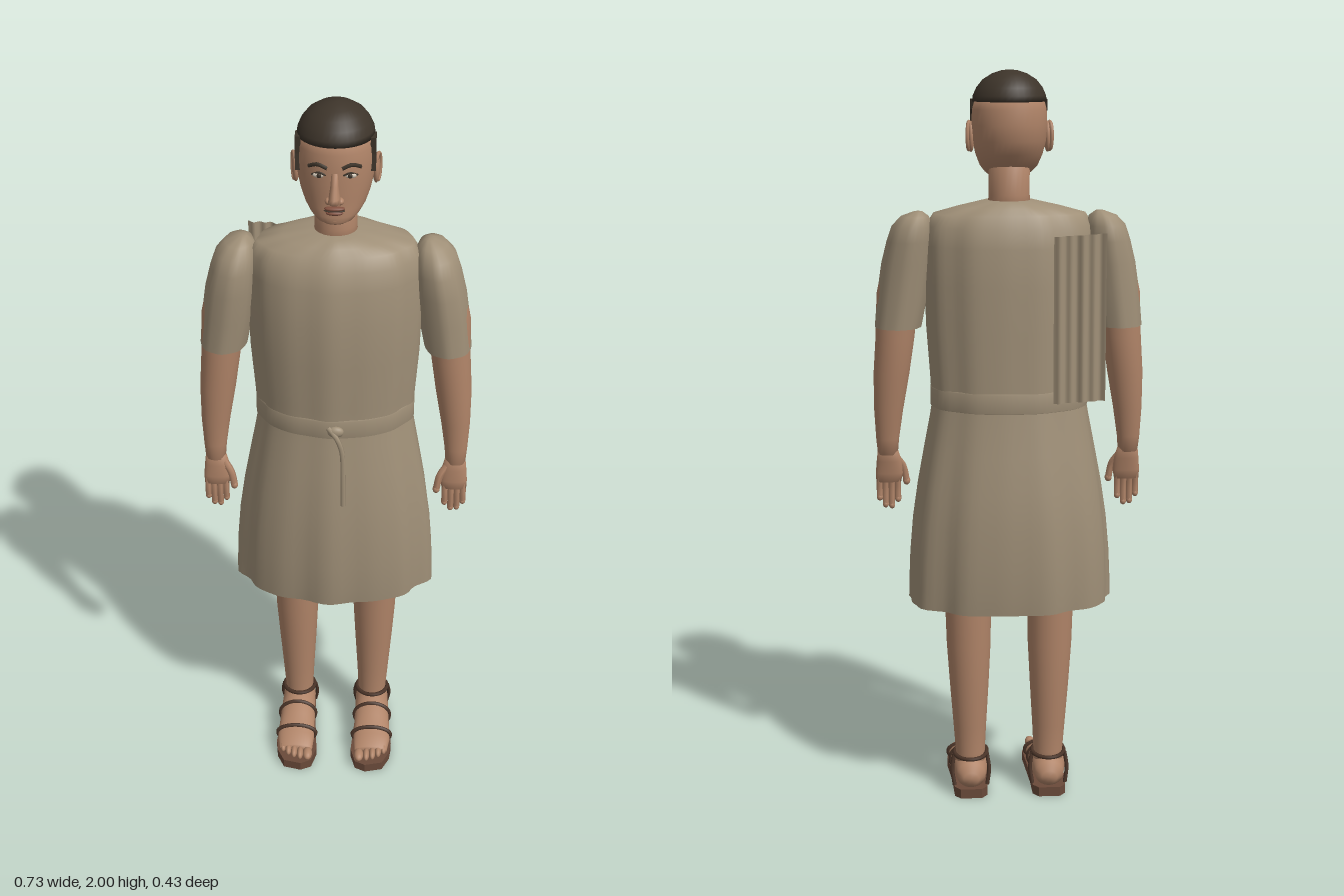
import * as THREE from 'three';

const mat = (name, color, side = THREE.FrontSide) => {
  const m = new THREE.MeshStandardMaterial({ color, side });
  m.name = name;
  return m;
};

// Stacks elliptical sections [y, cx, cz, rx, rz], listed upwards; ripple(angle, y) scales the radius.
function loft(sections, { seg = 24, bottom = true, top = true, ripple = () => 1, mirror = 1 } = {}) {
  const pos = [], idx = [];
  for (const [y, cx, cz, rx, rz] of sections) {
    for (let j = 0; j < seg; j++) {
      const a = (j / seg) * Math.PI * 2, r = ripple(a, y);
      pos.push(cx * mirror + rx * r * Math.sin(a), y, cz + rz * r * Math.cos(a));
    }
  }
  for (let i = 0; i < sections.length - 1; i++) {
    for (let j = 0; j < seg; j++) {
      const k = (j + 1) % seg, a = i * seg + j, b = i * seg + k;
      idx.push(a, b, b + seg, a, b + seg, a + seg);
    }
  }
  const cap = (i, up) => {
    const [y, cx, cz] = sections[i], c = pos.length / 3;
    pos.push(cx * mirror, y, cz);
    for (let j = 0; j < seg; j++) {
      const a = i * seg + j, b = i * seg + (j + 1) % seg;
      if (up) idx.push(c, a, b); else idx.push(c, b, a);
    }
  };
  if (bottom) cap(0, false);
  if (top) cap(sections.length - 1, true);
  const g = new THREE.BufferGeometry();
  g.setAttribute('position', new THREE.Float32BufferAttribute(pos, 3));
  g.setIndex(idx);
  g.computeVertexNormals();
  return g;
}

const tube = (pts, r, closed = false) => new THREE.TubeGeometry(
  new THREE.CatmullRomCurve3(pts.map(p => new THREE.Vector3(...p)), closed), pts.length * 3, r, 6, closed);

const oval = (n, f) => Array.from({ length: n }, (_, i) => f(Math.sin(i / n * Math.PI * 2), Math.cos(i / n * Math.PI * 2)));

export function createModel() {
  const model = new THREE.Group();
  const cloth = mat('tunic cloth', 0xa09078, THREE.DoubleSide);
  const skin = mat('skin', 0xb08468);
  const hair = mat('hair', 0x3d342a);
  const sole = mat('sole leather', 0x6a4a3a);
  const strap = mat('strap leather', 0x4a3428);
  const lip = mat('lips', 0x80503f);
  const white = mat('eye white', 0xcfc4b4);

  const add = (name, geo, material, parent = model) => {
    const m = new THREE.Mesh(geo, material);
    m.name = name;
    parent.add(m);
    return m;
  };
  const ball = (name, material, p, r, parent) => {
    const m = add(name, new THREE.SphereGeometry(1, 16, 12), material, parent);
    m.position.set(...p);
    m.scale.set(...r);
    return m;
  };

  // Tunic: gathered bodice, belt and flared skirt with soft folds
  const folds = amp => (a, y) => 1 + amp(y) * (Math.cos(9 * a + 0.4) + 0.6 * Math.cos(14 * a + 1));
  add('bodice', loft([
    [1.15, 0, -0.03, 0.21, 0.145], [1.2, 0, -0.03, 0.213, 0.146], [1.33, 0, -0.027, 0.222, 0.15],
    [1.45, 0, -0.027, 0.225, 0.15], [1.55, 0, -0.03, 0.225, 0.143], [1.6, 0, -0.032, 0.22, 0.131],
    [1.632, 0, -0.034, 0.2, 0.113], [1.65, 0, -0.035, 0.135, 0.1], [1.666, 0, -0.035, 0.065, 0.082],
  ], { seg: 72, bottom: false, ripple: folds(() => 0.013) }), cloth);
  add('belt', loft([[1.115, 0, -0.03, 0.205, 0.14], [1.12, 0, -0.03, 0.213, 0.149],
    [1.17, 0, -0.03, 0.213, 0.149], [1.175, 0, -0.03, 0.205, 0.14]],
  { seg: 72, bottom: false, top: false, ripple: folds(() => 0.008) }), cloth);
  add('skirt', loft([
    [0.57, 0, -0.033, 0.275, 0.168], [0.62, 0, -0.033, 0.274, 0.174], [0.7, 0, -0.033, 0.271, 0.178],
    [0.8, 0, -0.033, 0.263, 0.178], [0.9, 0, -0.032, 0.249, 0.172], [1, 0, -0.03, 0.231, 0.16],
    [1.08, 0, -0.03, 0.216, 0.149], [1.14, 0, -0.03, 0.206, 0.142],
  ], { seg: 72, bottom: false, top: false, ripple: folds(y => 0.008 + 0.03 * (1.14 - y)) }), cloth);

  // Belt knot and hanging end
  ball('beltKnot', cloth, [0.005, 1.143, 0.122], [0.022, 0.016, 0.012]);
  add('beltEnd', tube([[-0.015, 1.155, 0.122], [0.008, 1.13, 0.134], [0.022, 1.09, 0.137],
    [0.025, 1.02, 0.14], [0.026, 0.92, 0.144]], 0.007), cloth);

  // Pleated cloth hanging behind the right shoulder
  const drape = new THREE.PlaneGeometry(0.135, 0.435, 28, 1);
  const dp = drape.attributes.position;
  for (let i = 0; i < dp.count; i++) {
    const x = dp.getX(i);
    dp.setZ(i, 0.004 * Math.sin(x * 210) + 0.002 * Math.sin(x * 90));
    dp.setY(i, dp.getY(i) - x * 0.06);
  }
  drape.computeVertexNormals();
  add('backDrape', drape, cloth).position.set(-0.172, 1.372, -0.2);

  // Head and neck
  const head = new THREE.Group();
  head.name = 'head';
  model.add(head);
  add('neck', loft([[1.62, 0, -0.035, 0.06, 0.057], [1.68, 0, -0.033, 0.054, 0.052],
    [1.77, 0, -0.035, 0.054, 0.054]]), skin, head);
  add('skull', loft([
    [1.716, 0, 0.036, 0.028, 0.02], [1.722, 0, 0.028, 0.044, 0.032], [1.737, 0, 0.008, 0.062, 0.054],
    [1.755, 0, -0.014, 0.076, 0.074], [1.785, 0, -0.028, 0.088, 0.088], [1.82, 0, -0.037, 0.096, 0.098],
    [1.86, 0, -0.04, 0.099, 0.1], [1.9, 0, -0.041, 0.097, 0.099], [1.935, 0, -0.042, 0.087, 0.09],
  ], { seg: 36 }), skin, head);
  add('hairCap', loft([
    [1.92, 0, -0.042, 0.097, 0.1], [1.935, 0, -0.043, 0.095, 0.099], [1.955, 0, -0.044, 0.086, 0.09],
    [1.975, 0, -0.045, 0.07, 0.074], [1.99, 0, -0.046, 0.046, 0.049], [1.998, 0, -0.047, 0.022, 0.023],
    [2, 0, -0.047, 0.005, 0.005],
  ], { seg: 36 }), hair, head);

  // Nose and mouth
  add('nose', loft([[1.776, 0, 0.062, 0.014, 0.014], [1.785, 0, 0.072, 0.017, 0.024],
    [1.797, 0, 0.069, 0.014, 0.024], [1.825, 0, 0.06, 0.01, 0.016], [1.855, 0, 0.053, 0.009, 0.01]],
  { seg: 12 }), skin, head);
  ball('upperLip', lip, [0, 1.762, 0.06], [0.026, 0.006, 0.011], head);
  ball('lowerLip', lip, [0, 1.749, 0.058], [0.022, 0.006, 0.01], head);
  ball('mouthLine', hair, [0, 1.756, 0.06], [0.027, 0.0025, 0.009], head);
  ball('chin', skin, [0, 1.728, 0.046], [0.026, 0.014, 0.015], head);

  for (const s of [1, -1]) {
    const side = s > 0 ? 'left' : 'right';

    // Eye, brow, nostril wing, ear and sideburn
    ball(side + 'Eye', white, [s * 0.038, 1.848, 0.052], [0.016, 0.007, 0.006], head);
    ball(side + 'Iris', hair, [s * 0.038, 1.848, 0.056], [0.006, 0.0065, 0.004], head);
    add(side + 'EyeLid', tube([[s * 0.021, 1.849, 0.056], [s * 0.038, 1.856, 0.056], [s * 0.056, 1.847, 0.045]], 0.0025), hair, head);
    add(side + 'Brow', tube([[s * 0.018, 1.868, 0.058], [s * 0.042, 1.876, 0.052], [s * 0.064, 1.866, 0.038]], 0.005), hair, head);
    ball(side + 'NoseWing', skin, [s * 0.014, 1.785, 0.066], [0.01, 0.009, 0.012], head);
    ball(side + 'Ear', skin, [s * 0.1, 1.83, -0.036], [0.01, 0.04, 0.022], head);
    add(side + 'EarRim', tube(oval(10, (a, b) => [s * (0.105 - 0.005 * a), 1.832 + 0.036 * b, -0.038 + 0.018 * a]), 0.005, true), skin, head);
    const burn = new THREE.Shape([[-0.002, 1.925], [0.037, 1.925], [0.03, 1.9], [0.014, 1.885], [0.01, 1.855], [-0.004, 1.838], [0, 1.88]]
      .map(p => new THREE.Vector2(...p)));
    add(side + 'Sideburn', new THREE.ExtrudeGeometry(burn, { depth: 0.014, bevelEnabled: false })
      .rotateY(Math.PI / 2).translate(s > 0 ? 0.086 : -0.1, 0, 0), hair, head);

    // Sleeve and arm
    const opt = { mirror: s, seg: 32 };
    add(side + 'Sleeve', loft([
      [1.33, 0.296, -0.02, 0.061, 0.069], [1.42, 0.283, -0.02, 0.066, 0.075], [1.5, 0.272, -0.02, 0.065, 0.08],
      [1.56, 0.262, -0.024, 0.06, 0.082], [1.6, 0.255, -0.03, 0.053, 0.074], [1.625, 0.248, -0.034, 0.036, 0.053],
      [1.637, 0.24, -0.036, 0.012, 0.018],
    ], { ...opt, bottom: false, ripple: a => 1 + 0.018 * Math.cos(8 * a) }), cloth);
    add(side + 'Arm', loft([
      [0.975, 0.329, 0.003, 0.027, 0.02], [1.02, 0.329, -0.003, 0.031, 0.025], [1.1, 0.325, -0.006, 0.039, 0.035],
      [1.2, 0.316, -0.012, 0.048, 0.046], [1.3, 0.305, -0.015, 0.052, 0.052], [1.42, 0.296, -0.018, 0.056, 0.054],
      [1.48, 0.285, -0.02, 0.054, 0.054], [1.56, 0.262, -0.025, 0.04, 0.045],
    ], opt), skin);

    // Hand with four fingers and a thumb
    const hand = new THREE.Group();
    hand.name = side + 'Hand';
    model.add(hand);
    add('palm', loft([[0.895, 0.328, 0.012, 0.034, 0.011], [0.92, 0.326, 0.01, 0.037, 0.015],
      [0.955, 0.326, 0.006, 0.034, 0.017], [0.99, 0.329, 0.001, 0.027, 0.02]], opt), skin, hand);
    [[0.303, 0.84], [0.32, 0.822], [0.337, 0.825], [0.353, 0.845]].forEach(([x, y], i) =>
      add('finger' + i, tube([[s * x, 0.91, 0.011], [s * x, 0.875, 0.014], [s * x, y + 0.006, 0.013]], 0.0085), skin, hand)
      && ball('fingertip' + i, skin, [s * x, y + 0.006, 0.013], [0.0085, 0.01, 0.0085], hand));
    add('thumb', tube([[s * 0.306, 0.965, 0.008], [s * 0.287, 0.935, 0.018], [s * 0.279, 0.895, 0.022]], 0.01), skin, hand);
    ball('thumbTip', skin, [s * 0.279, 0.895, 0.022], [0.01, 0.012, 0.01], hand);

    // Leg
    add(side + 'Leg', loft([
      [0.06, 0.11, -0.035, 0.042, 0.042], [0.12, 0.11, -0.034, 0.041, 0.039], [0.2, 0.111, -0.036, 0.046, 0.045],
      [0.32, 0.112, -0.037, 0.054, 0.054], [0.44, 0.113, -0.036, 0.061, 0.061], [0.57, 0.114, -0.035, 0.064, 0.065],
      [0.75, 0.115, -0.033, 0.07, 0.072], [0.95, 0.115, -0.033, 0.078, 0.08],
    ], opt), skin);

    // Foot, lofted from heel to toe, with rounded toes
    const foot = new THREE.Group();
    foot.name = side + 'Foot';
    model.add(foot);
    add('foot', loft([
      [-0.1, 0.11, -0.058, 0.022, 0.018], [-0.085, 0.11, -0.063, 0.04, 0.036], [-0.04, 0.11, -0.07, 0.048, 0.046],
      [0.02, 0.111, -0.068, 0.05, 0.043], [0.07, 0.112, -0.057, 0.052, 0.033], [0.13, 0.113, -0.047, 0.054, 0.024],
      [0.175, 0.111, -0.042, 0.048, 0.017],
    ], opt).rotateX(Math.PI / 2), skin, foot);
    [0.076, 0.098, 0.116, 0.133, 0.149].forEach((x, i) =>
      ball('toe' + i, skin, [s * x, 0.041, 0.192 - i * i * 0.002], [i ? 0.0095 : 0.014, 0.014, 0.024], foot));

    // Sandal: shaped sole and leather straps
    const outline = new THREE.Shape([[0.08, -0.1], [0.064, -0.08], [0.062, 0], [0.055, 0.1], [0.051, 0.155],
      [0.065, 0.205], [0.095, 0.22], [0.145, 0.208], [0.166, 0.165], [0.171, 0.125], [0.16, 0.02], [0.156, -0.08], [0.14, -0.1]]
      .map(([x, z]) => new THREE.Vector2(s * x, z)));
    add('sole', new THREE.ExtrudeGeometry(outline, { depth: 0.027, bevelEnabled: false })
      .rotateX(Math.PI / 2).translate(0, 0.027, 0), sole, foot);
    [[0.115, 0.051, 0.057, 0.027], [0.04, 0.062, 0.053, 0.041]].forEach(([z, y, rx, ry], i) =>
      add('footStrap' + i, tube(oval(14, (a, b) => [s * (0.112 + rx * a), Math.max(y + ry * b, 0.026), z - 0.1 * ry * b]), 0.006, true), strap, foot));
    add('ankleStrap', tube(oval(14, (a, b) => [s * (0.11 + 0.045 * a), 0.113 + 0.004 * b, -0.035 + 0.047 * b]), 0.006, true), strap, foot);
    for (const e of [1, -1]) {
      add('sideStrap', tube([[s * (0.11 + e * 0.046), 0.113, -0.045], [s * (0.11 + e * 0.052), 0.07, -0.055],
        [s * (0.11 + e * 0.046), 0.026, -0.065]], 0.0055), strap, foot);
    }
  }
  return model;
}
